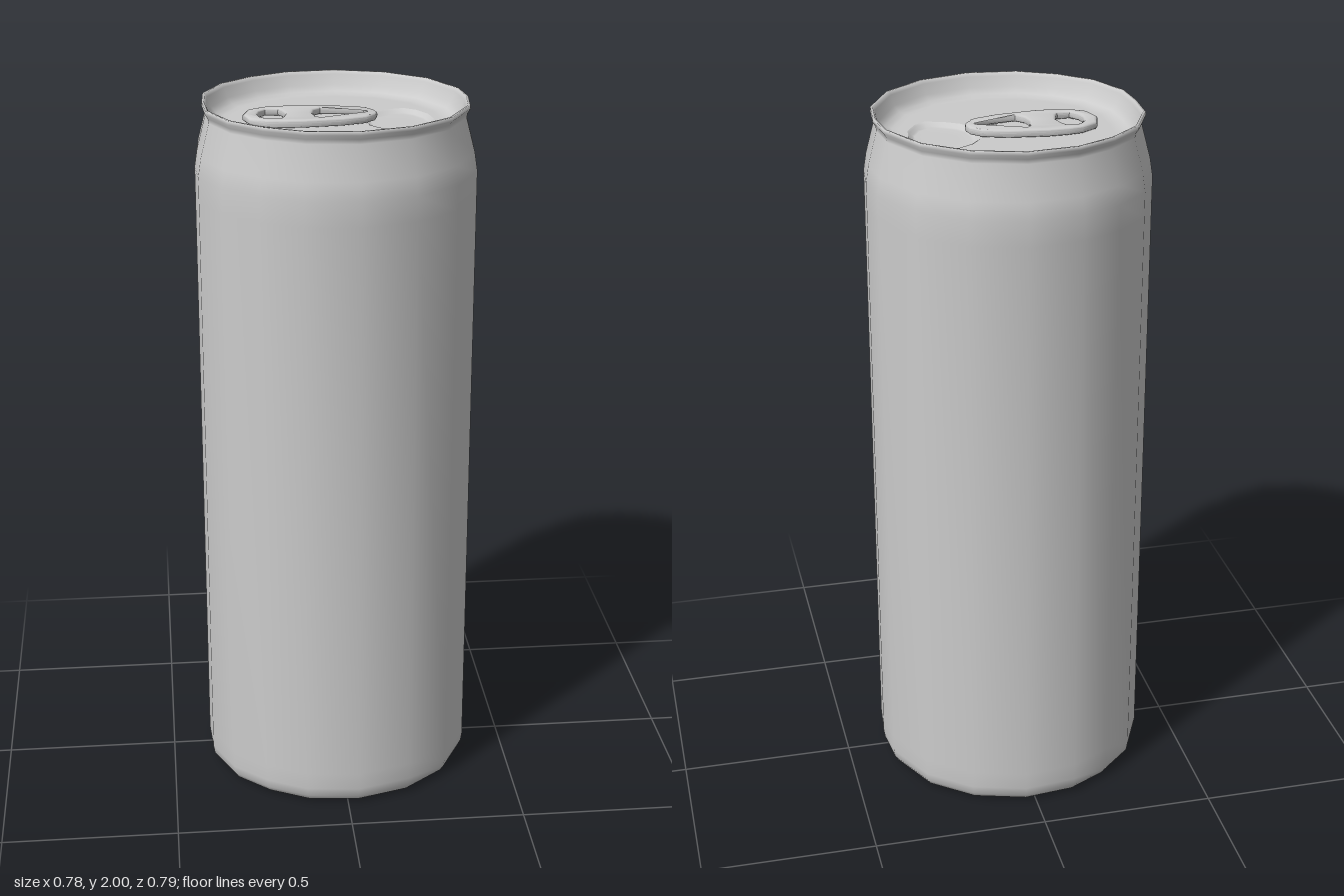
import * as THREE from 'three';
import { mergeVertices, toCreasedNormals } from 'three/addons/utils/BufferGeometryUtils.js';

const LID_Y = 1.94;

// Closed outline from its upper half (running from +x to -x, ends on the axis).
const mirrored = (half) => [...half, ...half.slice(1, -1).reverse().map(([x, y]) => [x, -y])];

// Eighteen-sided, slightly irregular can section of unit radius.
const canOutline = mirrored([
  [0.98, 0], [0.95, 0.285], [0.762, 0.65], [0.46, 0.888], [0.078, 1],
  [-0.3, 0.96], [-0.585, 0.814], [-0.819, 0.601], [-0.966, 0.285], [-0.982, 0]
]);

// Drinking mouth, about its own centre.
const MOUTH_X = 0.18;
const mouthOutline = mirrored([
  [0.09, 0], [0.082, 0.055], [0.055, 0.105], [0.022, 0.13], [-0.025, 0.118],
  [-0.07, 0.09], [-0.095, 0.055], [-0.1, 0]
]);

// Sweep a [scale, height] profile around any outline, with smooth normals.
function sweep(profile, outline) {
  const n = outline.length;
  const geo = new THREE.LatheGeometry(profile.map(([r, y]) => new THREE.Vector2(r, y)), n);
  const pos = geo.attributes.position;
  for (let i = 0; i <= n; i++) {
    const [x, y] = outline[i % n];
    profile.forEach(([r, h], j) => pos.setXYZ(i * profile.length + j, x * r, h, -y * r));
  }
  geo.deleteAttribute('uv');
  geo.deleteAttribute('normal');
  const merged = mergeVertices(geo);
  merged.computeVertexNormals();
  return merged;
}

const toVectors = (points) => points.map(([x, y]) => new THREE.Vector2(x, y));

export function createModel() {
  const group = new THREE.Group();
  const material = new THREE.MeshStandardMaterial({ color: 0xcccccc });
  const add = (name, geometry) => {
    const mesh = new THREE.Mesh(geometry, material);
    mesh.name = name;
    group.add(mesh);
    return mesh;
  };

  // Body: domed underside, foot, wall, tapered neck, rim and lid edge
  add('body', sweep([
    [0, 0.1], [0.15, 0.088], [0.26, 0.06], [0.33, 0.025], [0.355, 0.005], [0.367, 0],
    [0.382, 0.008], [0.393, 0.025], [0.397, 0.05], [0.397, 0.1], [0.397, 1.75],
    [0.397, 1.82], [0.389, 1.87], [0.364, 1.965], [0.366, 1.978], [0.374, 1.99],
    [0.373, 2], [0.366, 2], [0.361, 1.99], [0.35, 1.962], [0.335, 1.946],
    [0.315, LID_Y], [0.295, LID_Y]
  ], canOutline));

  // Lid panel with the mouth cut out
  const panel = new THREE.Shape(toVectors(canOutline.map(([x, y]) => [x * 0.295, y * 0.295])));
  panel.holes.push(new THREE.Path(toVectors(mouthOutline.map(([x, y]) => [x + MOUTH_X, y]))));
  const panelGeo = new THREE.ShapeGeometry(panel).rotateX(-Math.PI / 2);
  add('lidPanel', panelGeo).position.y = LID_Y;

  // Shallow recessed mouth
  const mouth = add('mouth', sweep(
    [[1, 0], [0.95, -0.003], [0.87, -0.01], [0.8, -0.012], [0.5, -0.012], [0, -0.012]], mouthOutline
  ));
  mouth.position.set(MOUTH_X, LID_Y, 0);

  // Pull tab: rounded plate with a finger hole and a rivet window
  const bevel = 0.01;
  const tab = new THREE.Shape(toVectors(mirrored([
    [0.104, 0], [0.099, 0.021], [0.074, 0.048], [0.01, 0.07], [-0.1, 0.083],
    [-0.15, 0.082], [-0.19, 0.075], [-0.232, 0.048], [-0.246, 0]
  ])));
  const fingerHole = mirrored([
    [-0.129, 0], [-0.139, 0.04], [-0.15, 0.062], [-0.195, 0.064], [-0.217, 0.036], [-0.224, 0]
  ]);
  const rivetWindow = mirrored([
    [0.092, 0], [0.09, 0.042], [0.065, 0.054], [-0.042, 0.069], [-0.066, 0.042], [-0.074, 0]
  ]);
  tab.holes.push(new THREE.Path(toVectors(fingerHole)), new THREE.Path(toVectors(rivetWindow)));
  const tabGeo = new THREE.ExtrudeGeometry(tab, {
    depth: 0.004, bevelEnabled: true, bevelThickness: 0.009, bevelSize: bevel, bevelSegments: 3
  }).rotateX(-Math.PI / 2);
  add('pullTab', toCreasedNormals(tabGeo, 0.9)).position.y = LID_Y + 0.012;

  // Tongue joining the tab to the lid
  add('tabTongue', new THREE.BoxGeometry(0.068, 0.014, 0.032)).position.set(0.058, LID_Y + 0.008, 0);

  return group;
}
